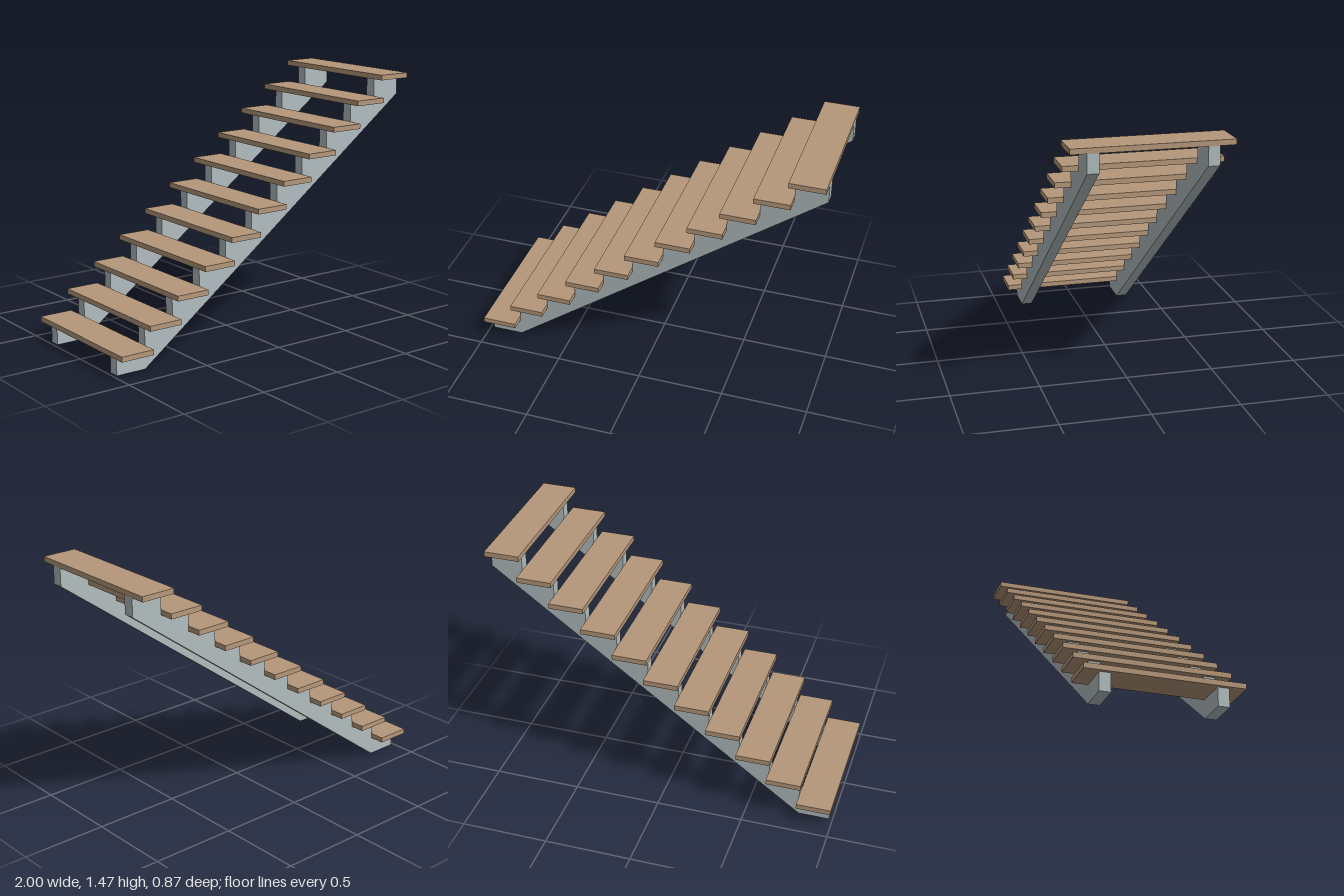
import * as THREE from 'three';

const STEPS = 11;
const RUN = 0.18;
const RISE = 0.1336;
const TREAD = { depth: 0.2, thickness: 0.03, width: 0.866 };
const STRINGER = { thickness: 0.063, centreZ: 0.315 };
const FIRST_TOP = 0.104; // underside of the lowest tread

export function createModel() {
  const wood = new THREE.MeshStandardMaterial({ color: 0xb5977a });
  wood.name = 'wood';
  const steel = new THREE.MeshStandardMaterial({ color: 0xb2bdbf });
  steel.name = 'paleGrey';

  const stairs = new THREE.Group();
  stairs.name = 'staircase';

  // Treads: overlapping planks climbing towards +x
  const treadGeometry = new THREE.BoxGeometry(TREAD.depth, TREAD.thickness, TREAD.width);
  for (let i = 0; i < STEPS; i++) {
    const tread = new THREE.Mesh(treadGeometry, wood);
    tread.name = `tread${i + 1}`;
    tread.position.set(-0.9 + i * RUN, FIRST_TOP + TREAD.thickness / 2 + i * RISE, 0);
    stairs.add(tread);
  }

  // Stringers: sawtooth top edge, straight sloping underside, flat foot
  const startX = -0.98;
  const endX = startX + STEPS * RUN;
  const profile = new THREE.Shape();
  profile.moveTo(startX, 0);
  profile.lineTo(startX + RUN, 0);
  profile.lineTo(endX, (STEPS - 1) * RISE);
  for (let i = STEPS - 1; i >= 0; i--) {
    const y = FIRST_TOP + i * RISE;
    profile.lineTo(startX + (i + 1) * RUN, y);
    profile.lineTo(startX + i * RUN, y);
  }
  profile.closePath();

  const stringerGeometry = new THREE.ExtrudeGeometry(profile, {
    depth: STRINGER.thickness,
    bevelEnabled: false,
  });
  stringerGeometry.translate(0, 0, -STRINGER.thickness / 2);
  for (const side of [1, -1]) {
    const stringer = new THREE.Mesh(stringerGeometry, steel);
    stringer.name = side > 0 ? 'frontStringer' : 'backStringer';
    stringer.position.z = side * STRINGER.centreZ;
    stairs.add(stringer);
  }

  return stairs;
}
